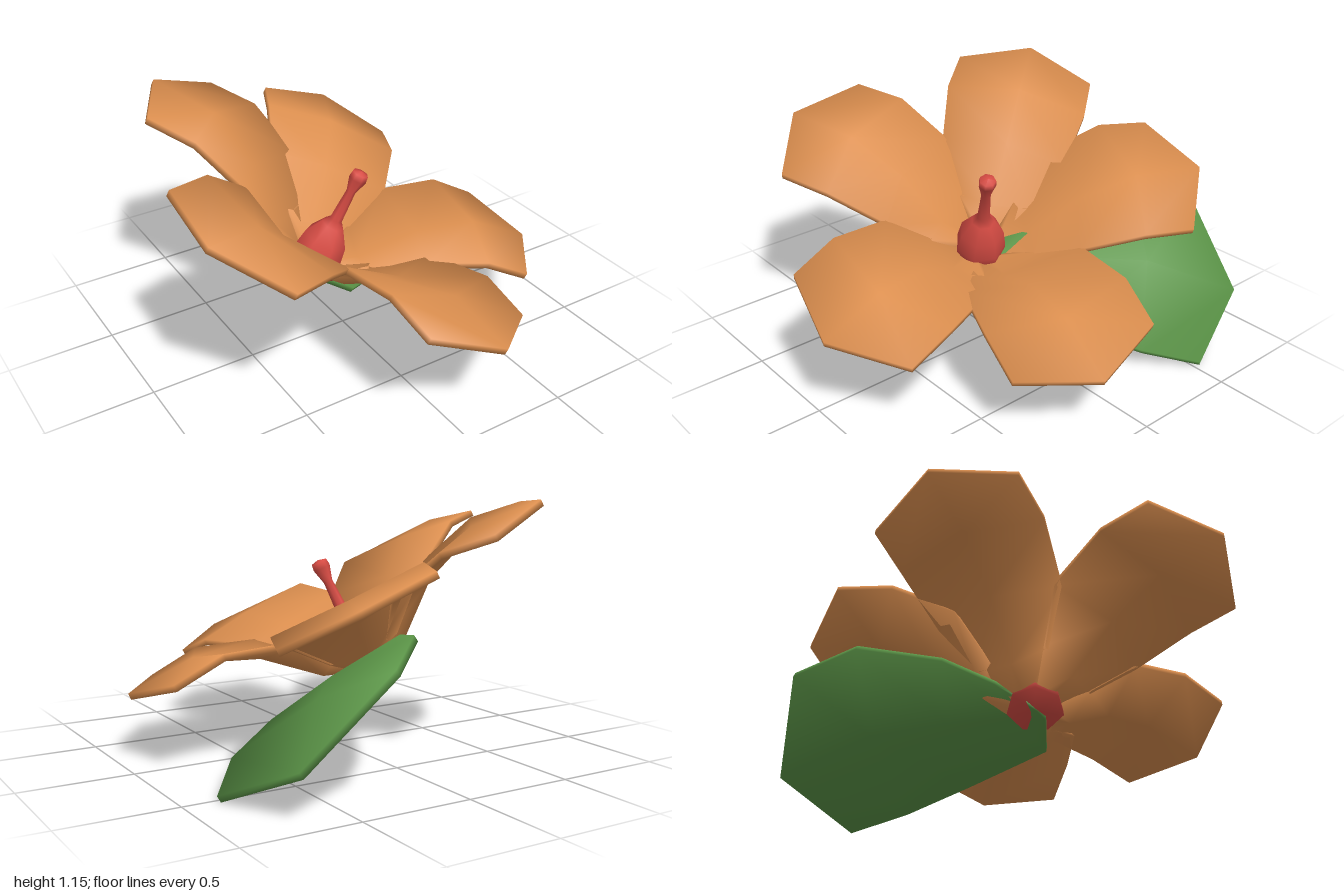
import * as THREE from 'three';

const material = (name, color) => Object.assign(new THREE.MeshStandardMaterial({ color }), { name });

// Thin curved blade from rows of [left, middle, right] points, thickened along `down`
function blade(rows, down, mat, name) {
  const last = rows.length - 1;
  const top = rows.flat();
  const count = top.length;
  const points = [...top, ...top.map((p) => p.clone().add(down))];
  const index = [];
  for (let i = 0; i < last; i++) {
    for (let j = 0; j < 2; j++) {
      const a = i * 3 + j, b = a + 1, c = a + 3, d = a + 4;
      index.push(a, b, c, b, d, c);
      index.push(a + count, c + count, b + count, b + count, c + count, d + count);
    }
  }
  // Outer rim, counterclockwise seen from above
  const rim = [0, 1];
  for (let i = 0; i < last; i++) rim.push(i * 3 + 2);
  rim.push(last * 3 + 2, last * 3 + 1);
  for (let i = last; i > 0; i--) rim.push(i * 3);
  rim.forEach((a, k) => {
    const b = rim[(k + 1) % rim.length];
    index.push(a + count, b + count, b, a + count, b, a);
  });
  const geometry = new THREE.BufferGeometry().setFromPoints(points);
  geometry.setIndex(index);
  geometry.computeVertexNormals();
  // Round the rim by leaning its normals outward
  const normals = geometry.attributes.normal;
  const normal = new THREE.Vector3();
  rim.forEach((a) => {
    const row = Math.min(Math.floor(a / 3), last - 1);
    const out = top[a].clone().sub(rows[row][1]).normalize().multiplyScalar(0.7);
    [a, a + count].forEach((v) => {
      normal.fromBufferAttribute(normals, v).add(out).normalize();
      normals.setXYZ(v, normal.x, normal.y, normal.z);
    });
  });
  const mesh = new THREE.Mesh(geometry, mat);
  mesh.name = name;
  return mesh;
}

export function createModel() {
  const orange = material('petal orange', 0xdc8f4f);
  const green = material('leaf green', 0x5c9648);
  const red = material('pistil red', 0xd84c44);
  const V = (x, y, z) => new THREE.Vector3(x, y, z);

  const model = new THREE.Group();
  model.name = 'blossom';

  // Flower head, tilted toward the front left
  const flower = new THREE.Group();
  flower.name = 'flowerHead';
  const up = V(0.376, 0.905, 0.212).normalize();
  const side = V(0.883, -0.427, 0.194).cross(up).normalize();
  const radial = up.clone().cross(side);
  flower.quaternion.setFromRotationMatrix(new THREE.Matrix4().makeBasis(radial, up, side));
  flower.position.set(-0.15, 0.36, -0.05);
  model.add(flower);

  // Petal rows: edge reach, edge height, half width, middle reach, middle height
  const profile = [
    [0.06, 0.03, 0.05, 0.06, 0.03],
    [0.2, 0.15, 0.17, 0.22, 0.09],
    [0.36, 0.32, 0.3, 0.45, 0.3],
    [0.645, 0.415, 0.345, 0.72, 0.42],
    [0.887, 0.395, 0.34, 1.045, 0.41],
  ];
  const petalRows = profile.map(([x, y, w, mx, my]) => [V(x, y, -w), V(mx, my, 0), V(x, y, w)]);
  [1.8, 79, 142.6, 218.3, 295].forEach((angle, k) => {
    const petal = blade(petalRows, V(0, -0.03, 0), orange, `petal${k + 1}`);
    petal.rotation.y = THREE.MathUtils.degToRad(angle);
    flower.add(petal);
  });

  // Pistil: bulb, thin stalk and flared tip
  const outline = [
    [0, -0.01], [0.13, 0], [0.12, 0.08], [0.105, 0.17], [0.055, 0.25], [0.03, 0.28],
    [0.022, 0.44], [0.042, 0.51], [0.038, 0.54], [0, 0.55],
  ].map(([r, y]) => new THREE.Vector2(r, y));
  const pistil = new THREE.Mesh(new THREE.LatheGeometry(outline, 7), red);
  pistil.name = 'pistil';
  pistil.position.z = 0.015;
  flower.add(pistil);

  // Leaf under the flower, reaching to the back right
  const leafRows = [
    [V(-0.17, 0.4, -0.08), V(-0.16, 0.37, -0.03), V(-0.15, 0.34, 0.02)],
    [V(-0.13, 0.47, -0.22), V(-0.04, 0.38, -0.08), V(0, 0.255, 0.1)],
    [V(-0.05, 0.57, -0.44), V(0.2, 0.39, -0.29), V(0.4, 0.18, -0.1)],
    [V(0.12, 0.63, -0.78), V(0.45, 0.37, -0.58), V(0.69, 0.1, -0.3)],
    [V(0.35, 0.55, -0.99), V(0.72, 0.2, -0.92), V(0.86, 0.025, -0.52)],
  ];
  model.add(blade(leafRows, V(-0.012, -0.024, -0.01), green, 'leaf'));

  return model;
}
